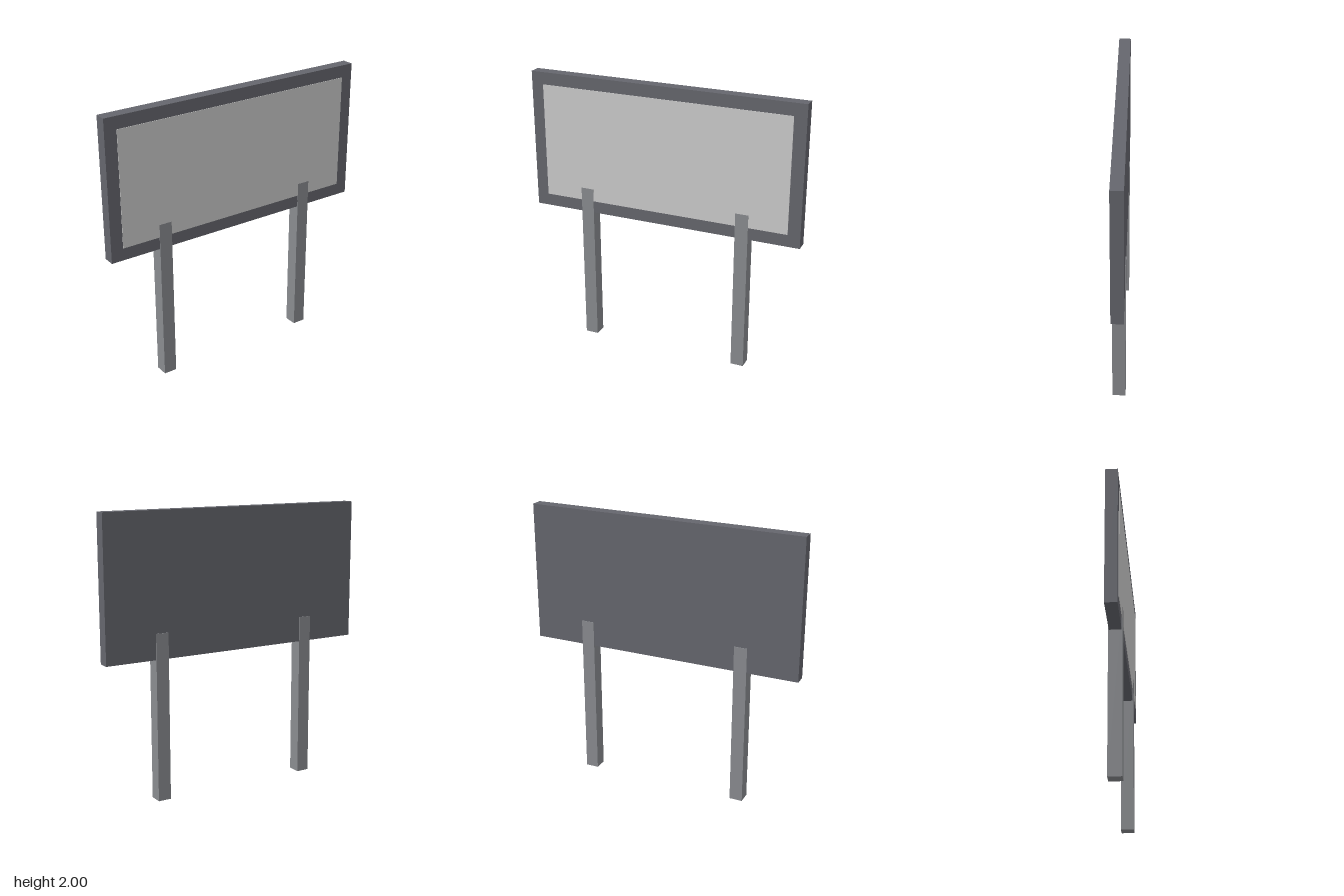
import * as THREE from 'three';

function box(name, size, position, color) {
  const mesh = new THREE.Mesh(
    new THREE.BoxGeometry(...size),
    new THREE.MeshStandardMaterial({ color })
  );
  mesh.name = name;
  mesh.position.set(...position);
  return mesh;
}

export function createModel() {
  const model = new THREE.Group();
  model.name = 'billboard';

  // Dark backing board, whose border frames the panel
  model.add(box('board', [2, 1, 0.084], [0, 1.5, 0], 0x65666d));

  // Pale display panel, barely proud of the board's front
  model.add(box('displayPanel', [1.824, 0.824, 0.044], [0, 1.5, 0.0235], 0xcccccc));

  // Square posts running up through the board, showing on both faces
  for (const [name, side] of [['leftPost', 1], ['rightPost', -1]]) {
    model.add(box(name, [0.094, 1.18, 0.094], [side * 0.587, 0.59, 0], 0x898b8f));
  }

  return model;
}
